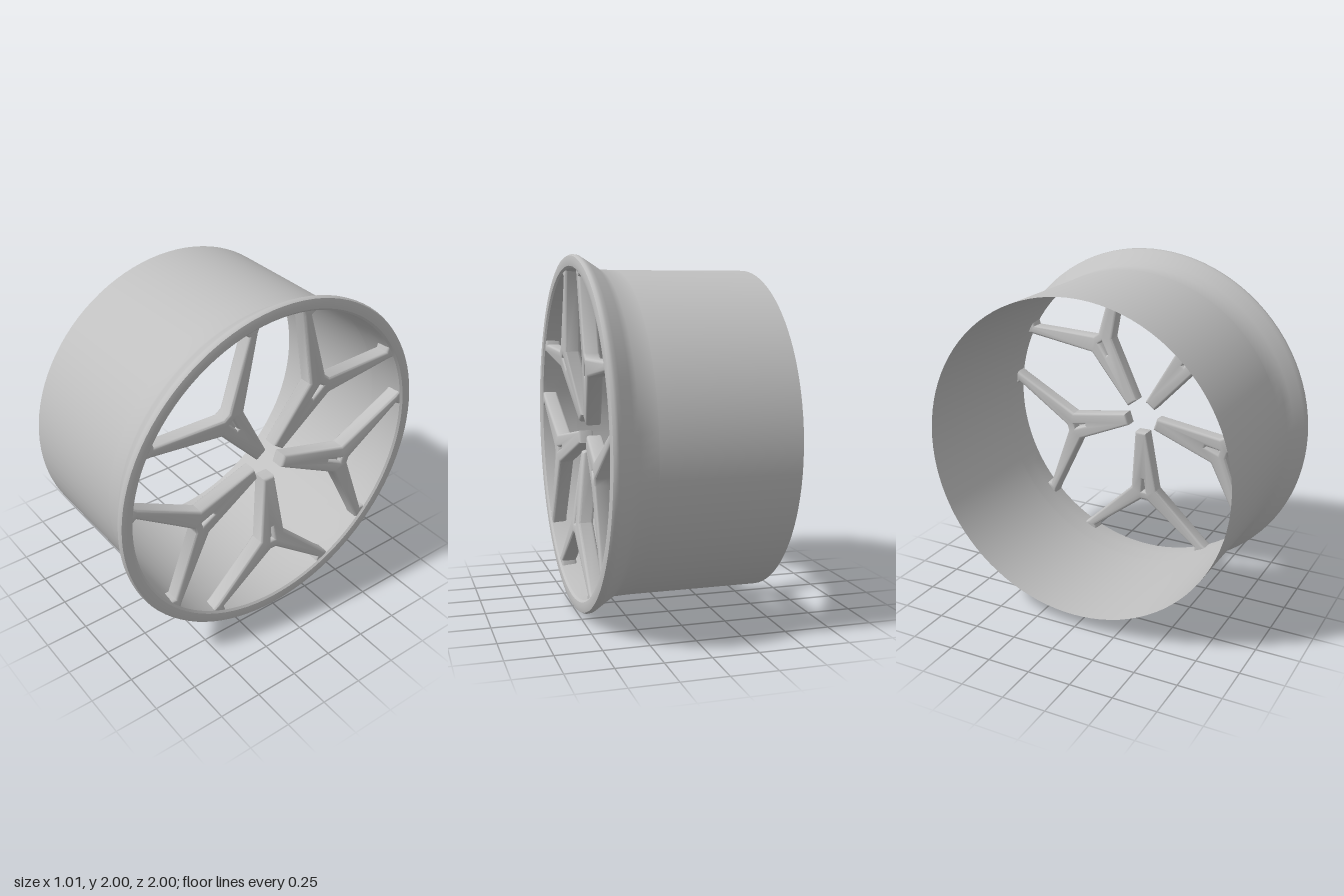
import * as THREE from 'three';
import { toCreasedNormals } from 'three/addons/utils/BufferGeometryUtils.js';

const metal = new THREE.MeshStandardMaterial({ color: 0xc0c0c0, side: THREE.DoubleSide });
metal.name = 'silver metal';

const SPOKES = 5;
const FACE_X = 0.49; // front plane of the spokes
const DEPTH = 0.09;
const BEVEL = 0.015;

const toPoints = (list) => list.map(([a, b]) => new THREE.Vector2(a, b));

// Mirrors a half outline across the spoke's centre line
function mirrored(half) {
  const other = half.filter(([u]) => u > 0).map(([u, v]) => [-u, v]).reverse();
  return toPoints([...half, ...other]);
}

// Turns a flat spoke piece to face +x and dishes it back towards the hub
function dish(geometry, front) {
  geometry.rotateY(Math.PI / 2);
  const p = geometry.attributes.position;
  for (let i = 0; i < p.count; i++) {
    const recess = 0.07 * Math.max(0, 1 - p.getY(i) / 0.57);
    p.setX(i, p.getX(i) + front - recess);
  }
  return toCreasedNormals(geometry, 0.7);
}

function mesh(name, geometry) {
  const m = new THREE.Mesh(geometry, metal);
  m.name = name;
  return m;
}

// Revolved profile given as [radius, x]
function revolve(profile) {
  const g = new THREE.LatheGeometry(toPoints(profile), 96);
  g.rotateZ(-Math.PI / 2);
  return toCreasedNormals(g, 0.6);
}

export function createModel() {
  const wheel = new THREE.Group();
  wheel.name = 'wheelRim';
  wheel.position.y = 1;

  // Thin open barrel
  wheel.add(mesh('barrel', revolve([[0.915, -0.51], [0.915, 0.25], [0.918, 0.34]])));

  // Flared lip with a rounded front edge
  wheel.add(mesh('lip', revolve([
    [0.915, 0.25], [0.919, 0.345], [0.945, 0.385], [0.985, 0.448], [0.998, 0.47],
    [1.0, 0.485], [0.993, 0.499], [0.965, 0.505], [0.937, 0.501], [0.925, 0.49],
    [0.921, 0.465], [0.917, 0.38], [0.913, 0.27],
  ])));

  // Y-shaped spoke: tapered stem, two arms and flared feet at the rim
  const outline = new THREE.Shape(mirrored([
    [0.037, 0.1], [0.085, 0.495], [0.4, 0.8], [0.445, 0.835],
    [0.335, 0.885], [0.352, 0.828], [0.02, 0.572],
  ]));
  outline.holes.push(new THREE.Path(mirrored([[0.004, 0.43], [0.012, 0.515]])));
  const spokeGeometry = dish(new THREE.ExtrudeGeometry(outline, {
    depth: DEPTH - 2 * BEVEL, bevelEnabled: true, bevelSize: BEVEL,
    bevelThickness: BEVEL, bevelOffset: -BEVEL, bevelSegments: 3,
  }), FACE_X - DEPTH + BEVEL);

  // Floor of the slot in the stem
  const floorGeometry = dish(new THREE.ShapeGeometry(
    new THREE.Shape(mirrored([[0.02, 0.4], [0.03, 0.54]]))), FACE_X - 0.03);

  for (let i = 0; i < SPOKES; i++) {
    const spoke = new THREE.Group();
    spoke.name = 'spoke' + (i + 1);
    spoke.add(mesh('spokeBody', spokeGeometry), mesh('slotFloor', floorGeometry));
    spoke.rotation.x = Math.PI + (i * 2 * Math.PI) / SPOKES;
    wheel.add(spoke);
  }

  const model = new THREE.Group();
  model.name = 'model';
  model.add(wheel);
  return model;
}
